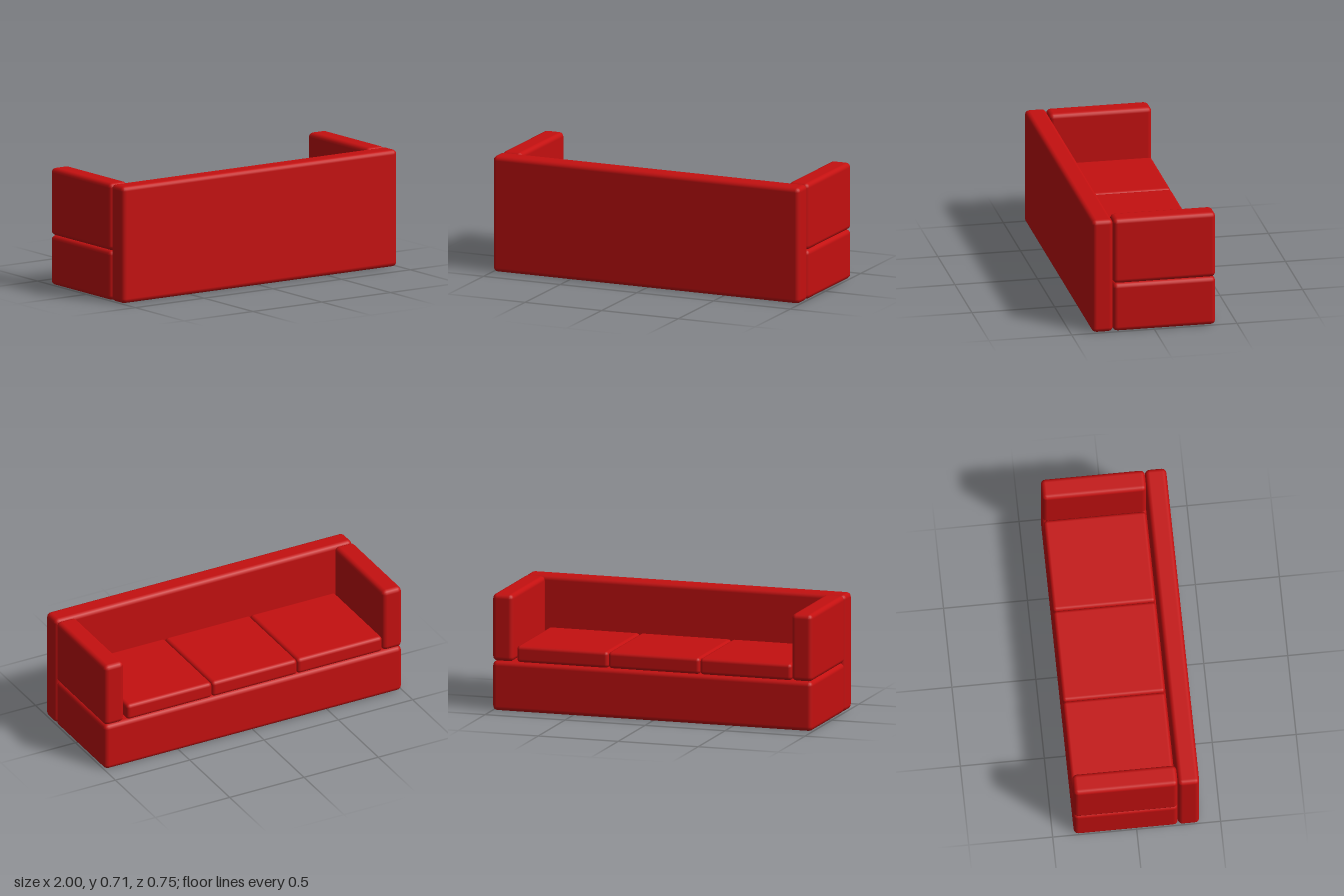
import * as THREE from 'three';
import { RoundedBoxGeometry } from 'three/addons/geometries/RoundedBoxGeometry.js';

export function createModel() {
  const group = new THREE.Group();
  const red = new THREE.MeshStandardMaterial({ color: 0xc41010 });

  // Padded block given by its minimum and maximum corners
  function block(name, [x0, y0, z0], [x1, y1, z1], radius = 0.028) {
    const geometry = new RoundedBoxGeometry(x1 - x0, y1 - y0, z1 - z0, 2, radius);
    const mesh = new THREE.Mesh(geometry, red);
    mesh.name = name;
    mesh.position.set((x0 + x1) / 2, (y0 + y1) / 2, (z0 + z1) / 2);
    group.add(mesh);
  }

  const top = 0.706, seat = 0.3, open = -0.373, rear = 0.247;

  // Backrest slab on the +z side, full height and width
  block('backrest', [-1, 0, rear], [1, top, 0.375]);

  // Base under the arms and cushions
  block('base', [-1, 0, open], [1, seat, rear]);

  // Arms standing on the base
  block('leftArm', [0.87, seat, open], [1, top, rear]);
  block('rightArm', [-1, seat, open], [-0.87, top, rear]);

  // Three seat cushions in a row
  const width = 0.573;
  for (let i = 0; i < 3; i++) {
    const x = -0.87 + i * width;
    block(`seatCushion${i + 1}`, [x, seat, -0.37], [x + width, 0.4, 0.24], 0.022);
  }

  return group;
}
